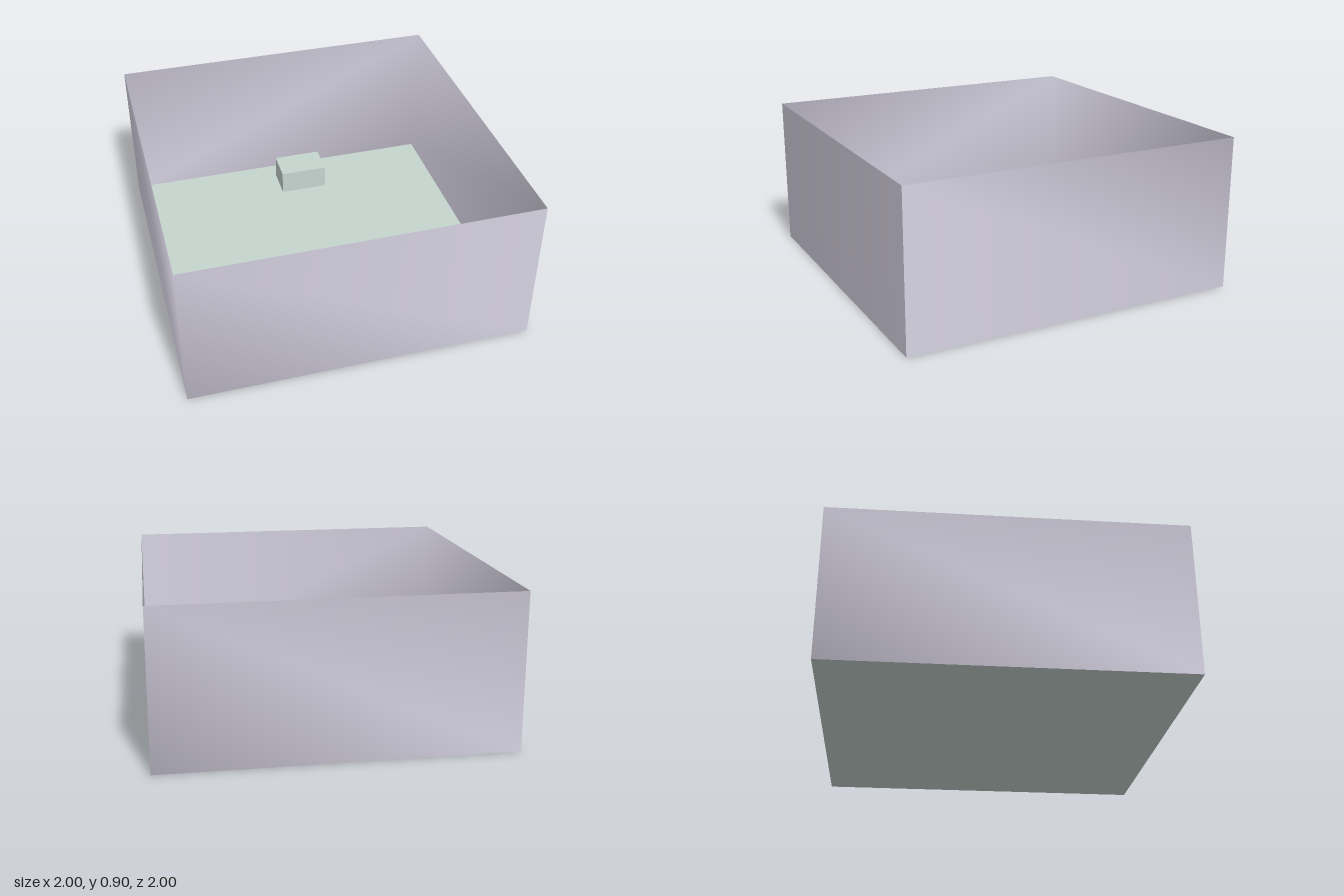
import * as THREE from 'three';

const HEIGHT = 0.9;
const BLOCK = { w: 0.3, h: 0.15, d: 0.2 };

// One continuous strip around the square, smooth at three corners, open seam at the fourth.
function wallGeometry() {
  const corners = [[1, 1], [1, -1], [-1, -1], [-1, 1], [1, 1]];
  const positions = [];
  const index = [];
  corners.forEach(([x, z], i) => {
    positions.push(x, 0, z, x, HEIGHT, z);
    if (i < corners.length - 1) {
      const a = i * 2;
      index.push(a, a + 2, a + 1, a + 2, a + 3, a + 1);
    }
  });
  const geometry = new THREE.BufferGeometry();
  geometry.setAttribute('position', new THREE.Float32BufferAttribute(positions, 3));
  geometry.setIndex(index);
  geometry.computeVertexNormals();
  return geometry;
}

export function createModel() {
  const model = new THREE.Group();
  model.name = 'openRoom';

  const wallMaterial = new THREE.MeshStandardMaterial({ color: 0xd8d4e4, side: THREE.DoubleSide });
  const floorMaterial = new THREE.MeshStandardMaterial({ color: 0xc6d5cf, side: THREE.DoubleSide });
  const blockMaterial = new THREE.MeshStandardMaterial({ color: 0xc6d5cf });

  function add(name, geometry, material) {
    const mesh = new THREE.Mesh(geometry, material);
    mesh.name = name;
    model.add(mesh);
    return mesh;
  }

  // Thin enclosure and floor
  add('walls', wallGeometry(), wallMaterial);
  add('floor', new THREE.PlaneGeometry(2, 2).rotateX(-Math.PI / 2), floorMaterial);

  // Three equal blocks standing on the floor
  const blockGeometry = new THREE.BoxGeometry(BLOCK.w, BLOCK.h, BLOCK.d).translate(0, BLOCK.h / 2, 0);
  const places = { backBlock: [0.1, -0.78], frontBlock: [0.1, 0.5], frontLeftBlock: [0.6, 0.5] };
  for (const [name, [x, z]] of Object.entries(places)) {
    add(name, blockGeometry, blockMaterial).position.set(x, 0, z);
  }

  return model;
}
